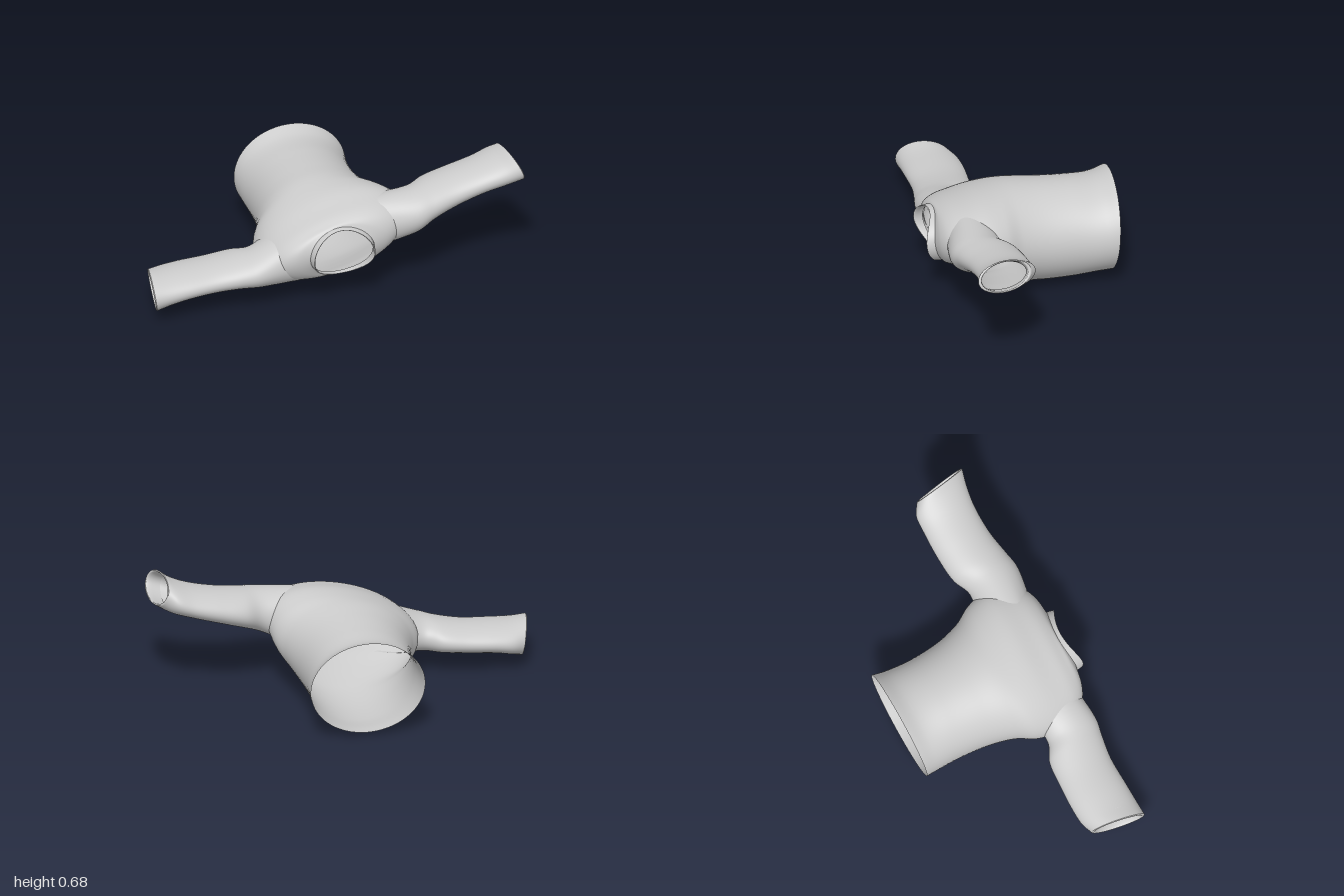
import * as THREE from 'three';

const N = 64;
const material = new THREE.MeshStandardMaterial({ color: 0xcccccc, side: THREE.DoubleSide });

// Closed ring of N points from a function of the angle
const ring = (fn) => Array.from({ length: N }, (_, j) => {
  const t = (j / N) * Math.PI * 2;
  return fn(Math.cos(t), Math.sin(t));
});

// Smooth skin through key rings; faces whose centre passes skip() are left open
function loft(name, rings, rows, skip = () => false) {
  const columns = rings[0].map((_, j) =>
    new THREE.CatmullRomCurve3(rings.map((r) => r[j])).getPoints(rows));
  const pos = [], index = [];
  for (let i = 0; i <= rows; i++) columns.forEach((c) => pos.push(...c[i].toArray()));
  for (let i = 0; i < rows; i++) {
    for (let j = 0; j < N; j++) {
      const k = (j + 1) % N;
      const centre = columns[j][i].clone().add(columns[k][i + 1]).multiplyScalar(0.5);
      if (skip(centre)) continue;
      const a = i * N + j, b = i * N + k;
      index.push(a, b, a + N, b, b + N, a + N);
    }
  }
  const geo = new THREE.BufferGeometry();
  geo.setAttribute('position', new THREE.Float32BufferAttribute(pos, 3));
  geo.setIndex(index);
  geo.computeVertexNormals();
  const mesh = new THREE.Mesh(geo, material);
  mesh.name = name;
  return mesh;
}

// Torso sections: z, centre y, half width, half depth, roll, rim shear, neck saddle
const torsoKeys = [
  [-0.486, 0.282, 0.302, 0.262, 0.0, -0.021, 0],
  [-0.41, 0.266, 0.294, 0.25, 0.0, -0.012, 0],
  [-0.27, 0.26, 0.287, 0.259, 0.03, 0, 0],
  [-0.1, 0.266, 0.302, 0.264, 0.07, 0, 0],
  [0.03, 0.28, 0.338, 0.259, 0.14, 0, 0],
  [0.12, 0.293, 0.388, 0.243, 0.22, 0, 0],
  [0.22, 0.309, 0.41, 0.217, 0.27, 0, 0],
  [0.31, 0.318, 0.4, 0.186, 0.27, 0, 0],
  [0.37, 0.319, 0.37, 0.168, 0.26, 0.006, 0.004],
  [0.4, 0.316, 0.325, 0.155, 0.24, 0.012, 0.02],
  [0.414, 0.313, 0.26, 0.148, 0.19, 0.016, 0.036],
  [0.419, 0.311, 0.174, 0.141, 0.1, 0.018, 0.046],
];

const torsoRing = ([z, cy, a, b, roll, shear, saddle]) => ring((c, s) => new THREE.Vector3(
  a * c * Math.cos(roll) - b * s * Math.sin(roll),
  cy + a * c * Math.sin(roll) + b * s * Math.cos(roll),
  z + shear * s + saddle * c * c,
));

// True where a point lies inside the torso, allowing for the saddle at the sides
function insideTorso(x, y, z) {
  const i = torsoKeys.findIndex((k) => k[0] + k[6] > z);
  if (i < 1) return false;
  const p = torsoKeys[i - 1], q = torsoKeys[i];
  const f = (z - p[0] - p[6]) / (q[0] + q[6] - p[0] - p[6]);
  const [, cy, a, b, roll] = p.map((v, k) => v + (q[k] - v) * f);
  const c = Math.cos(roll), s = Math.sin(roll), dy = y - cy;
  return ((x * c + dy * s) / a) ** 2 + ((dy * c - x * s) / b) ** 2 < 1;
}

// Sleeve sections: distance from the middle, centre y, centre z, half height, half depth
const leftKeys = [
  [0.26, 0.385, 0.292, 0.135, 0.135],
  [0.435, 0.421, 0.299, 0.115, 0.145],
  [0.52, 0.45, 0.268, 0.099, 0.157],
  [0.65, 0.485, 0.245, 0.086, 0.152],
  [0.8, 0.527, 0.239, 0.079, 0.15],
  [0.9, 0.562, 0.247, 0.08, 0.155],
  [0.965, 0.595, 0.272, 0.08, 0.147],
];
const rightKeys = [
  [0.26, 0.238, 0.292, 0.128, 0.135],
  [0.435, 0.211, 0.299, 0.095, 0.142],
  [0.52, 0.199, 0.272, 0.084, 0.155],
  [0.65, 0.184, 0.258, 0.076, 0.152],
  [0.8, 0.172, 0.258, 0.077, 0.156],
  [0.9, 0.16, 0.264, 0.085, 0.154],
  [0.972, 0.152, 0.278, 0.097, 0.144],
];

function sleeve(name, side, keys, slantY, slantZ) {
  const section = ([x, cy, cz, ry, rz], slant = 0, size = 1) => ring((c, s) => new THREE.Vector3(
    side * (x + slant * (slantY * c + slantZ * side * s)),
    cy + ry * size * c,
    cz + side * rz * size * s,
  ));
  const rings = keys.map((k, i) => section(k, i === 6 ? 1 : i === 5 ? 0.5 : 0));
  // Seat the first ring just under the torso surface
  rings[0].forEach((p) => {
    let lo = 0.2, hi = 0.45;
    if (!insideTorso(side * lo, p.y, p.z)) return;
    for (let i = 0; i < 20; i++) {
      const mid = (lo + hi) / 2;
      if (insideTorso(side * mid, p.y, p.z)) lo = mid; else hi = mid;
    }
    p.x = side * (lo - 0.025);
  });
  const group = new THREE.Group();
  group.name = name;
  group.add(loft('sleeveSkin', rings, 48));

  // Rolled cuff edge and short lining
  const end = keys[6];
  const inner = [end[0] - 0.06, ...end.slice(1)];
  inner[1] += (keys[5][1] - end[1]) * 0.9;
  group.add(loft('cuff', [
    section(end, 1), section([end[0] + 0.004, ...end.slice(1)], 1, 0.95),
    section(end, 1, 0.88), section(inner, 0.6, 0.88),
  ], 12));
  return group;
}

export function createModel() {
  const model = new THREE.Group();
  model.name = 'shirt';

  // Body shell, open at hem and neck and cut out behind each sleeve
  const behindSleeve = (p) => {
    const [, cy, cz, ry, rz] = (p.x > 0 ? leftKeys : rightKeys)[0];
    return Math.abs(p.x) > 0.27 && ((p.y - cy) / ry) ** 2 + ((p.z - cz) / rz) ** 2 < 0.5;
  };
  model.add(loft('torso', torsoKeys.map(torsoRing), 110, behindSleeve));

  model.add(sleeve('leftSleeve', 1, leftKeys, -0.028, 0.026));
  model.add(sleeve('rightSleeve', -1, rightKeys, 0.014, 0.022));

  // Thin collar band standing on the neck opening
  model.add(loft('collar', [
    [0.414, 0.31, 0.174, 0.142, 0.08, 0.016, 0.046],
    [0.43, 0.308, 0.17, 0.141, 0.06, 0.018, 0.06],
    [0.442, 0.307, 0.165, 0.139, 0.04, 0.02, 0.066],
    [0.439, 0.307, 0.16, 0.136, 0.04, 0.02, 0.065],
    [0.412, 0.309, 0.166, 0.137, 0.08, 0.016, 0.046],
  ].map(torsoRing), 16));

  return model;
}
